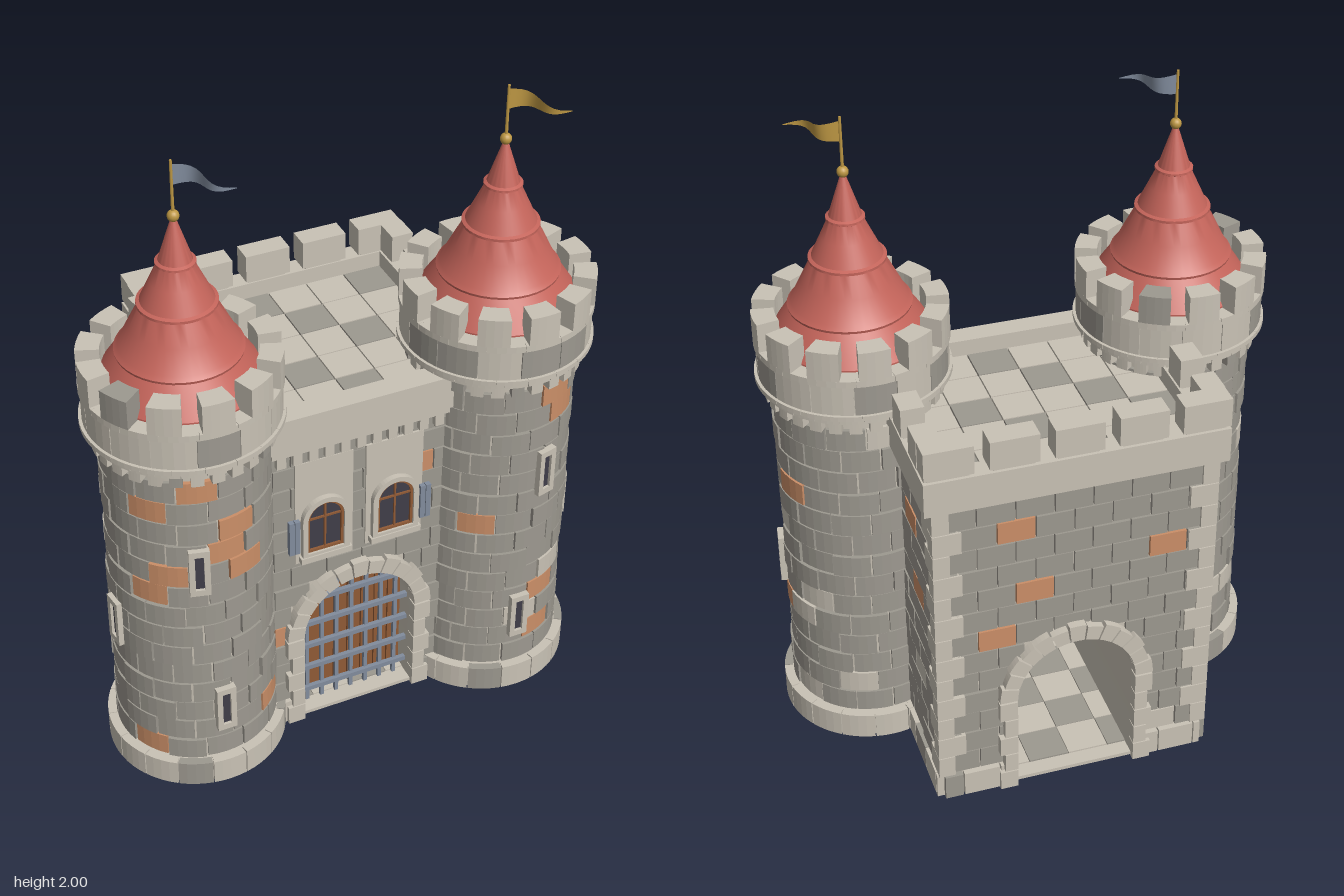
import * as THREE from 'three';
import { mergeGeometries, toCreasedNormals } from 'three/addons/utils/BufferGeometryUtils.js';

const PI = Math.PI, RAD = PI / 180;

export function createModel() {
  const root = new THREE.Group();
  const mat = (name, color, side = THREE.FrontSide) => {
    const m = new THREE.MeshStandardMaterial({ color, side });
    m.name = name;
    return m;
  };
  const light = mat('light stone', 0xc9c2b5), grey = mat('grey stone', 0x9d9990);
  const clay = mat('clay brick', 0xcb8f68), red = mat('roof red', 0xc4645a);
  const gold = mat('gold', 0xbd9743, THREE.DoubleSide), steel = mat('blue steel', 0x818c9d, THREE.DoubleSide);
  const wood = mat('wood', 0x905a36), dark = mat('dark glass', 0x403e49);

  let seed = 7;
  const rnd = () => (seed = (seed * 16807) % 2147483647) / 2147483647;

  // ---- helpers ----
  const add = (parent, name, material, geos) => {
    const list = [geos].flat();
    if (!list.length) return;
    const mesh = new THREE.Mesh(mergeGeometries(list.map(g => (g.index ? g.toNonIndexed() : g))), material);
    mesh.name = name;
    parent.add(mesh);
  };
  const box = (x0, x1, y0, y1, z0, z1) =>
    new THREE.BoxGeometry(x1 - x0, y1 - y0, z1 - z0).translate((x0 + x1) / 2, (y0 + y1) / 2, (z0 + z1) / 2);
  const extrude = (shape, depth, curveSegments = 12) =>
    new THREE.ExtrudeGeometry(shape, { depth, bevelEnabled: false, curveSegments });
  const wedge = (r0, r1, a0, a1, depth) => {
    const s = new THREE.Shape();
    s.absarc(0, 0, r1, a0, a1, false);
    s.absarc(0, 0, r0, a1, a0, true);
    return extrude(s, depth, 2);
  };
  // curved block on a tower, angle measured from the front towards +x
  const block = (r0, r1, t0, t1, y0, y1) =>
    wedge(r0, r1, t0 - PI / 2, t1 - PI / 2, y1 - y0).rotateX(-PI / 2).translate(0, y0, 0);
  const archPath = (s, w, y0, spring) => {
    s.moveTo(-w, y0);
    s.lineTo(w, y0);
    s.lineTo(w, spring);
    s.absarc(0, spring, w, 0, PI, false);
    s.closePath();
    return s;
  };
  const arch = (w, y0, spring) => archPath(new THREE.Shape(), w, y0, spring);

  // ---- towers ----
  const baseH = 0.085, row = 0.0755;
  const slit = (y, deg) => {
    const turn = g => g.rotateY(deg * RAD);
    return {
      frame: [box(-0.03, -0.013, y - 0.08, y + 0.08, 0.22, 0.262), box(0.013, 0.03, y - 0.08, y + 0.08, 0.22, 0.262),
        box(-0.013, 0.013, y + 0.06, y + 0.08, 0.22, 0.262), box(-0.013, 0.013, y - 0.08, y - 0.06, 0.22, 0.262)].map(turn),
      pane: turn(box(-0.013, 0.013, y - 0.06, y + 0.06, 0.245, 0.253)),
    };
  };
  const makeTower = (name, side, clayAt, flagMat) => {
    const t = new THREE.Group();
    t.name = name;
    t.position.set(side * 0.49, 0, 0.165);
    root.add(t);
    // hollow core with an open foot
    const core = [[0.21, 1.3], [0.21, 0], [0.262, 0], [0.262, 0.08], [0.235, 0.08], [0.235, 1.2], [0.27, 1.2], [0.27, 1.33], [0, 1.33]];
    add(t, 'towerCore', light, toCreasedNormals(new THREE.LatheGeometry(core.map(p => new THREE.Vector2(...p)), 48), 0.5));
    add(t, 'towerCeiling', light, new THREE.CircleGeometry(0.212, 32).rotateX(PI / 2).translate(0, 1.3, 0));
    // brick courses in running bond
    const bricks = [[], [], []];
    for (let i = 0; i < 14; i++) {
      const y = baseH + i * row, n = 13, step = 2 * PI / n, shift = (i % 2) * step / 2 + rnd() * 0.15;
      for (let k = 0; k < n; k++) {
        const a = shift + (k - 0.5) * step, mid = y + row / 2;
        const isClay = clayAt.some(([cy, d]) => Math.abs(cy - mid) < row / 2 &&
          Math.abs(Math.atan2(Math.sin(a + step / 2 - d * RAD), Math.cos(a + step / 2 - d * RAD))) < step / 2);
        const roll = rnd();
        bricks[isClay ? 2 : roll < 0.03 ? 1 : 0].push(
          block(0.23, 0.241 + rnd() * 0.008, a + 0.008, a + step - 0.008 - rnd() * 0.015, y + 0.002, y + row - 0.003));
      }
    }
    add(t, 'towerBricks', grey, bricks[0]);
    add(t, 'towerPaleBricks', light, bricks[1]);
    add(t, 'towerClayBricks', clay, bricks[2]);
    // foot stones, corbels, cornice stones and merlons
    const stones = [[], []];
    const ring = (n, fill, r0, r1, y0, y1, greyShare) => {
      for (let k = 0; k < n; k++) {
        const h = PI / n * fill, c = k * 2 * PI / n;
        stones[rnd() < greyShare ? 1 : 0].push(block(r0, r1, c - h, c + h, y0, y1));
      }
    };
    ring(16, 0.97, 0.25, 0.275, 0, baseH, 0.3);
    ring(28, 0.62, 0.235, 0.264, 1.14, 1.185, 0.15);
    ring(24, 0.97, 0.235, 0.274, 1.18, 1.2, 0);
    ring(20, 0.99, 0.24, 0.289, 1.2, 1.215, 0);
    ring(14, 0.98, 0.24, 0.28, 1.215, 1.31, 0.35);
    ring(16, 0.99, 0.2, 0.285, 1.31, 1.33, 0);
    ring(12, 0.63, 0.218, 0.285, 1.33, 1.42, 0.1);
    add(t, 'towerTrim', light, stones[0]);
    add(t, 'towerGreyTrim', grey, stones[1]);
    // arrow slits
    const slits = [slit(0.825, side * 14), slit(0.28, 0), slit(0.545, side * 82)];
    add(t, 'slitFrames', light, slits.flatMap(s => s.frame));
    add(t, 'slitPanes', dark, slits.map(s => s.pane));
    // flared roof in overlapping tiers
    const roof = [[0.235, 1.325], [0.235, 1.335], [0.205, 1.38], [0.178, 1.42], [0.18, 1.428], [0.168, 1.44], [0.136, 1.505], [0.106, 1.565],
      [0.112, 1.568], [0.112, 1.576], [0.102, 1.58], [0.074, 1.64], [0.051, 1.69], [0.056, 1.693], [0.056, 1.7], [0.047, 1.704], [0.006, 1.83], [0, 1.832]];
    add(t, 'coneRoof', red, toCreasedNormals(new THREE.LatheGeometry(roof.map(p => new THREE.Vector2(...p)), 40), 0.5));
    add(t, 'finial', gold, [new THREE.SphereGeometry(0.017, 16, 12).translate(0, 1.835, 0),
      new THREE.CylinderGeometry(0.004, 0.005, 0.17, 8).translate(0, 1.915, 0)]);
    // waving pennant
    const flag = new THREE.PlaneGeometry(1, 1, 12, 1), p = flag.attributes.position;
    for (let i = 0; i < p.count; i++) {
      const u = p.getX(i) + 0.5, v = p.getY(i);
      const d = u * 0.17, wave = 0.02 * Math.sin(u * 2 * PI);
      p.setXYZ(i, (d + wave) * 0.8, 1.957 - u * 0.012 + v * 0.062 * (1 - u * 0.97), d * 0.66 - wave * 0.8);
    }
    flag.computeVertexNormals();
    add(t, 'pennant', flagMat, flag);
  };
  makeTower('rightTower', -1, [[1.1, -9], [1.03, -45], [0.95, 12], [0.87, 12], [0.79, 12], [0.79, -48],
    [0.71, -48], [0.13, -66], [0.2, 58]], steel);
  makeTower('leftTower', 1, [[1.1, 28], [1.03, 28], [0.65, -45], [0.34, 27], [0.2, 27], [0.9, 112], [0.41, 88]], gold);

  // ---- gatehouse ----
  const gate = new THREE.Group();
  gate.name = 'gatehouse';
  root.add(gate);
  const R = 0.185, S = 0.34, X = 0.41, Z0 = -0.415, Z1 = 0.27;
  // core with a vaulted passage
  const outline = new THREE.Shape();
  outline.moveTo(-X, 0.012);
  outline.lineTo(-R, 0.012);
  outline.lineTo(-R, S);
  outline.absarc(0, S, R, PI, 0, true);
  outline.lineTo(R, 0.012);
  outline.lineTo(X, 0.012);
  outline.lineTo(X, 1.1);
  outline.lineTo(-X, 1.1);
  add(gate, 'gatehouseCore', light, toCreasedNormals(extrude(outline, Z1 - Z0, 16).translate(0, 0, Z0), 0.5));

  // brick facing: courses between u0 and u1, skipping the archway where there is one
  const facing = [[], [], []], foot = [[], []];
  const wall = (u0, u1, hasArch, place, clayAt) => {
    const gap = y => (!hasArch || y > S + 0.23 ? 0 : y < S ? 0.215 : Math.sqrt(Math.max(0, 0.225 ** 2 - (y - S) ** 2)));
    for (let i = -1; i < 13; i++) {
      const y = i < 0 ? 0 : baseH + i * row, h = i < 0 ? baseH : row, g = gap(y + h / 2);
      for (const [a, b] of g ? [[u0, -g], [g, u1]] : [[u0, u1]]) {
        for (let u = a - (i & 1) * 0.055; u < b - 0.004; u += 0.115) {
          const s = Math.max(u, a), e = Math.min(u + 0.111, b);
          if (e - s < 0.008) continue;
          const isClay = clayAt.some(([cu, cy]) => cu >= s && cu <= e && Math.abs(cy - y - h / 2) < h / 2);
          const proud = i < 0 ? 0.022 : 0.008 + rnd() * 0.005;
          const geo = place(box(s, e, y + (i < 0 ? 0 : 0.002), y + h - 0.003, -0.01, proud));
          if (i < 0) foot[rnd() < 0.25 ? 1 : 0].push(geo);
          else facing[isClay ? 2 : rnd() < 0.03 ? 1 : 0].push(geo);
        }
      }
    }
  };
  wall(-0.33, 0.33, true, g => g.translate(0, 0, Z1), [[0.24, 0.9], [-0.25, 0.38]]);
  wall(-X, X, true, g => g.rotateY(PI).translate(0, 0, Z0), [[-0.15, 0.94], [-0.11, 0.71], [-0.26, 0.55], [0.3, 0.8]]);
  wall(0, 0.42, false, g => g.rotateY(PI / 2).translate(X, 0, 0), [[0.16, 0.89], [0.26, 0.66]]);
  wall(-0.42, 0, false, g => g.rotateY(-PI / 2).translate(-X, 0, 0), [[-0.28, 0.74]]);
  add(gate, 'wallBricks', grey, facing[0]);
  add(gate, 'wallPaleBricks', light, facing[1]);
  add(gate, 'wallClayBricks', clay, facing[2]);
  add(gate, 'footStones', light, foot[0]);
  add(gate, 'footGreyStones', grey, foot[1]);

  // rear corner quoins
  const quoins = [];
  for (const s of [-1, 1]) for (let i = 0; i < 13; i++) {
    const w = i % 2 ? 0.085 : 0.05, d = i % 2 ? 0.05 : 0.085, y = baseH + i * row;
    const a = s * 0.427, b = s * (0.427 - w);
    quoins.push(box(Math.min(a, b), Math.max(a, b), y, y + row - 0.003, -0.432, -0.432 + d));
  }
  add(gate, 'quoins', light, quoins);

  // stone arches front and back
  const voussoirs = [];
  for (const z of [Z1 - 0.01, Z0 - 0.035]) {
    for (let k = 0; k < 13; k++)
      voussoirs.push(wedge(R, k % 2 ? 0.232 : 0.24, PI * k / 13 + 0.012, PI * (k + 1) / 13 - 0.012, 0.045).translate(0, S, z));
    for (const s of [-1, 1]) for (let k = 0; k < 5; k++) {
      const w = k % 2 ? 0.04 : 0.055, c = s * (R + w / 2);
      voussoirs.push(box(c - w / 2, c + w / 2, k * S / 5, (k + 1) * S / 5 - 0.004, z, z + 0.045));
    }
  }
  add(gate, 'archStones', light, voussoirs);

  // plank door and portcullis
  const planks = [], bars = [];
  const top = x => S + Math.sqrt(R * R - x * x) - 0.002;
  for (let k = 0; k < 8; k++) {
    const x = -0.161 + k * 0.046;
    planks.push(box(x - 0.021, x + 0.021, 0.02, top(Math.min(0.18, Math.abs(x) + 0.02)), 0.19, 0.21));
  }
  for (let k = -3; k <= 3; k++) bars.push(box(k * 0.05 - 0.006, k * 0.05 + 0.006, 0.012, top(k * 0.05), 0.232, 0.244));
  for (const y of [0.07, 0.16, 0.25, 0.34, 0.435]) {
    const w = y > S ? Math.sqrt(R * R - (y - S) ** 2) : R;
    bars.push(box(-w, w, y - 0.008, y + 0.008, 0.24, 0.254));
  }
  add(gate, 'plankDoor', wood, planks);
  add(gate, 'portcullis', steel, bars);

  // arched windows with pale panels and shutters
  for (const s of [-1, 1]) {
    const win = new THREE.Group();
    win.name = s < 0 ? 'rightWindow' : 'leftWindow';
    win.position.set(s * 0.113, 0, 0);
    gate.add(win);
    const surround = arch(0.075, 0.655, 0.79);
    surround.holes.push(archPath(new THREE.Path(), 0.058, 0.67, 0.79));
    const casing = arch(0.058, 0.67, 0.79);
    casing.holes.push(archPath(new THREE.Path(), 0.05, 0.678, 0.79));
    add(win, 'windowPanel', light, box(-0.092, 0.092, 0.63, 1.0, 0.26, 0.286));
    add(win, 'windowSurround', light, [extrude(surround, 0.02).translate(0, 0, 0.284), box(-0.082, 0.082, 0.64, 0.66, 0.28, 0.308)]);
    add(win, 'windowPane', dark, extrude(arch(0.058, 0.67, 0.79), 0.005).translate(0, 0, 0.284));
    add(win, 'windowCasing', wood, [extrude(casing, 0.01).translate(0, 0, 0.287), box(-0.003, 0.003, 0.672, 0.845, 0.287, 0.294),
      box(-0.055, 0.055, 0.787, 0.793, 0.287, 0.294)]);
    add(win, 'shutter', steel, [0.082, 0.1].map(x => box(s * x + (s < 0 ? -0.016 : 0), s * x + (s < 0 ? 0 : 0.016), 0.68, 0.8, 0.284, 0.3)));
  }

  // corbels, parapet and merlons
  const parapet = [box(-0.45, 0.45, 1.07, 1.18, -0.445, -0.38), box(-0.36, 0.36, 1.07, 1.18, 0.235, 0.305),
    box(-0.45, -0.38, 1.07, 1.18, -0.38, 0.2), box(0.38, 0.45, 1.07, 1.18, -0.38, 0.2)];
  for (let k = -5; k <= 5; k++) parapet.push(box(k * 0.05 - 0.014, k * 0.05 + 0.014, 1.01, 1.07, 0.26, 0.297));
  parapet.push(box(-0.28, 0.28, 1.05, 1.07, 0.26, 0.3));
  add(gate, 'parapet', light, parapet);
  const merlons = [];
  for (let k = -2; k <= 2; k++) {
    const c = k * 0.188;
    merlons.push(box(c - 0.072, c + 0.072, 1.19, 1.28, -0.445, -0.375), box(c - 0.06, c + 0.06, 1.175, 1.192, -0.435, -0.385));
  }
  for (const s of [-1, 1]) {
    const a = s * 0.415;
    merlons.push(box(a - 0.035, a + 0.035, 1.19, 1.28, -0.38, -0.295), box(a - 0.035, a + 0.035, 1.19, 1.28, -0.22, -0.13),
      box(a - 0.025, a + 0.025, 1.175, 1.192, -0.21, -0.14));
  }
  add(gate, 'merlons', light, merlons);

  // paved roof terrace and ground floor
  const darkRoof = ['20', '50', '01', '31', '12', '42', '23', '34'], roofTiles = [[], []], floorTiles = [[], []];
  for (let c = 0; c < 6; c++) for (let r = 0; r < 5; r++) {
    const x = -0.38 + c * 0.1267, z = -0.38 + r * 0.123;
    roofTiles[darkRoof.includes(`${c}${r}`) ? 1 : 0].push(box(x + 0.002, x + 0.1247, 1.09, 1.13, z + 0.002, z + 0.121));
    floorTiles[(c + r) % 2].push(box(x + 0.001, x + 0.1257, 0, 0.02, z + 0.001, z + 0.122));
  }
  add(gate, 'roofPaving', light, roofTiles[0]);
  add(gate, 'roofDarkPaving', grey, roofTiles[1]);
  add(gate, 'floorPaving', light, [...floorTiles[0], box(-0.2, 0.2, 0.004, 0.016, -0.43, -0.38), box(-0.2, 0.2, 0.004, 0.016, 0.23, 0.29)]);
  add(gate, 'floorDarkPaving', grey, floorTiles[1]);
  return root;
}
